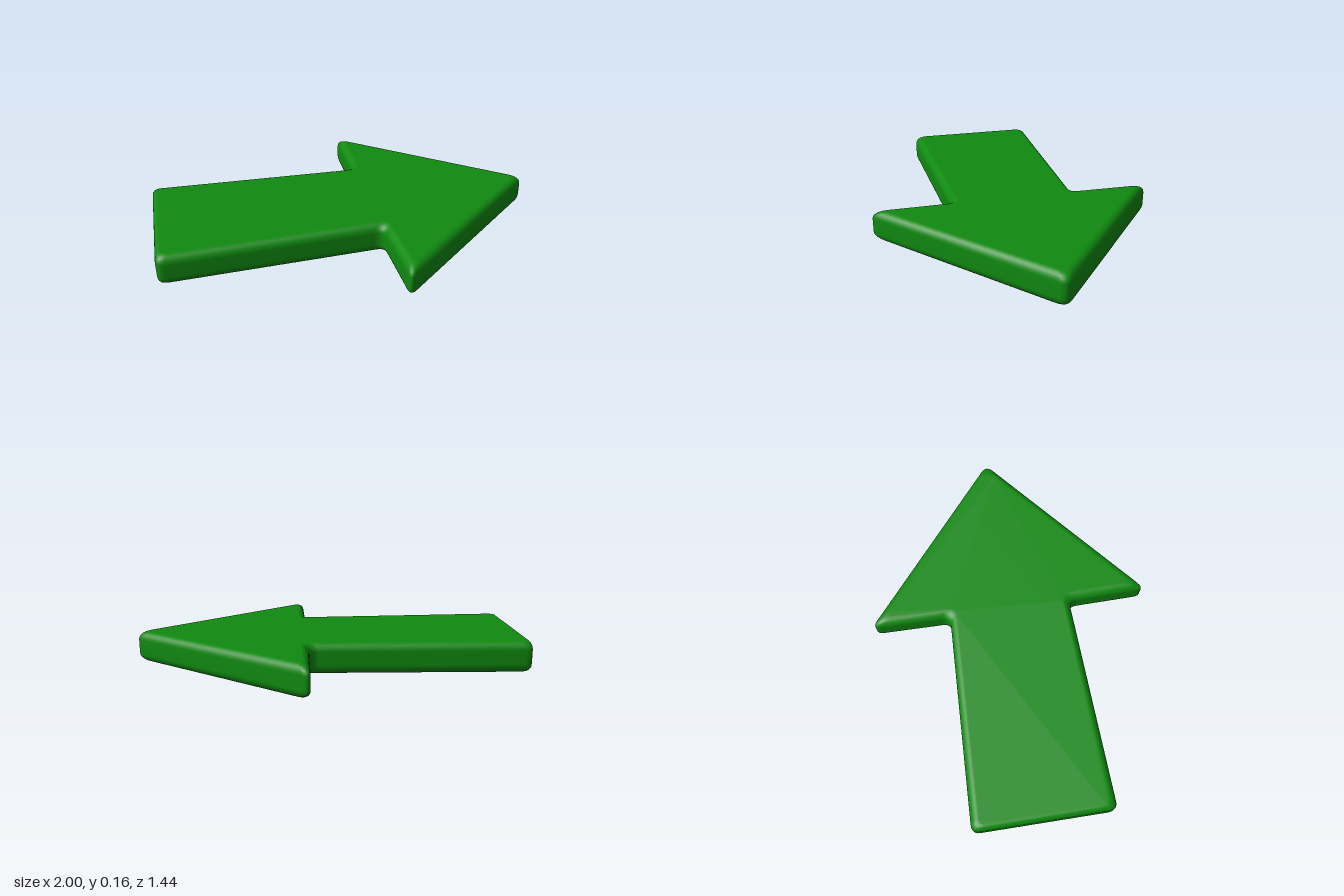
import * as THREE from 'three';

const HEIGHT = 0.16, BEVEL_Y = 0.045, BEVEL = 0.04, TAIL_BEVEL = 0.025;
const CORNER_STEPS = 6, BEVEL_STEPS = 6;

// Sharp arrow outline seen from above, counterclockwise (plan y = -z)
const half = [[-1, -0.36], [0.115, -0.322], [0.12, -0.742]];
const mirrored = half.map(([x, y]) => [x, -y]).reverse();
const corners = [...half, [1.02, 0], ...mirrored].map(([x, y]) => new THREE.Vector2(x, y));

// Outline moved inwards by a share of the bevel, with every corner rounded
function outline(share) {
  const n = corners.length;
  const normals = corners.map((p, i) => {
    const d = corners[(i + 1) % n].clone().sub(p).normalize();
    return new THREE.Vector2(-d.y, d.x);
  });
  const inset = (edge) => share * (edge === n - 1 ? TAIL_BEVEL : BEVEL);
  const moved = corners.map((p, i) => {
    const h = (i + n - 1) % n, a = normals[h], b = normals[i];
    const det = a.x * b.y - a.y * b.x, da = inset(h), db = inset(i);
    return new THREE.Vector2(p.x + (da * b.y - db * a.y) / det, p.y + (a.x * db - b.x * da) / det);
  });
  return moved.flatMap((p, i) => {
    const trim = i === 0 || i === n - 1 ? 0.04 : 0.05;
    const towards = (q) => p.clone().add(q.clone().sub(p).setLength(trim));
    const curve = new THREE.QuadraticBezierCurve(
      towards(moved[(i + n - 1) % n]), p, towards(moved[(i + 1) % n]));
    return curve.getPoints(CORNER_STEPS);
  });
}

// Stack of outlines: rounded lower rim, straight wall, rounded upper rim, flat caps
function arrowGeometry() {
  const rings = [];
  for (let k = 0; k <= BEVEL_STEPS; k++) {
    const a = (k / BEVEL_STEPS) * Math.PI / 2;
    rings.push({ share: 1 - Math.sin(a), y: BEVEL_Y * (1 - Math.cos(a)) });
  }
  rings.push(...rings.map(({ share, y }) => ({ share, y: HEIGHT - y })).reverse());

  const positions = [], index = [];
  const loops = rings.map(({ share }) => outline(share));
  loops.forEach((loop, r) => loop.forEach((p) => positions.push(p.x, rings[r].y, -p.y)));
  const m = loops[0].length;
  for (let r = 0; r < rings.length - 1; r++) {
    for (let i = 0; i < m; i++) {
      const a = r * m + i, b = r * m + (i + 1) % m;
      index.push(a, b, b + m, a, b + m, a + m);
    }
  }
  const top = (rings.length - 1) * m;
  for (const [a, b, c] of THREE.ShapeUtils.triangulateShape(loops[0].slice(), [])) {
    index.push(top + a, top + b, top + c, c, b, a);
  }

  const geometry = new THREE.BufferGeometry();
  geometry.setAttribute('position', new THREE.Float32BufferAttribute(positions, 3));
  geometry.setIndex(index);
  geometry.computeVertexNormals();
  return geometry;
}

export function createModel() {
  const group = new THREE.Group();
  group.name = 'arrow';
  const arrow = new THREE.Mesh(arrowGeometry(), new THREE.MeshStandardMaterial({ color: 0x108a10 }));
  arrow.name = 'arrowBody';
  group.add(arrow);
  return group;
}
